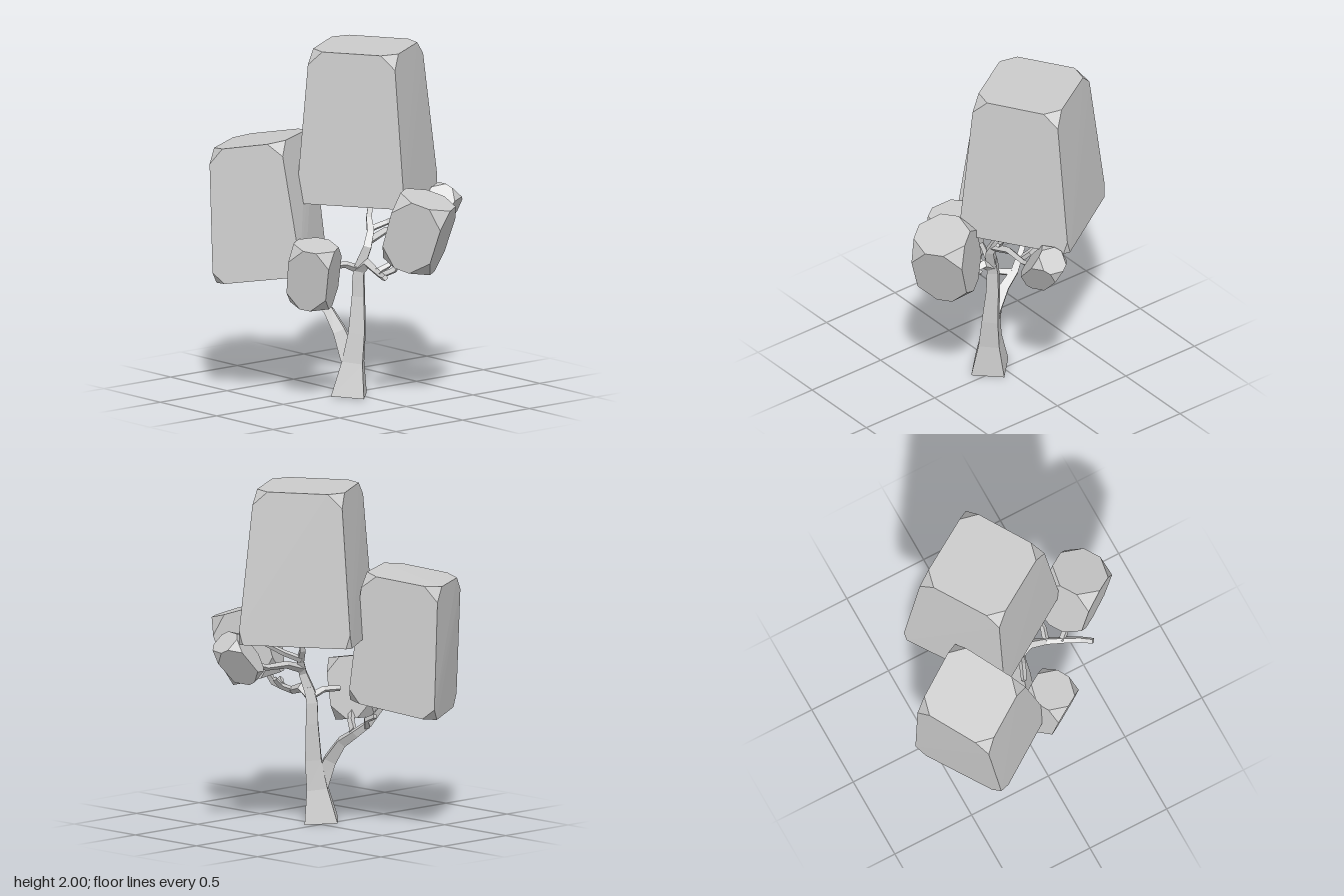
import * as THREE from 'three';
import { ConvexGeometry } from 'three/addons/geometries/ConvexGeometry.js';

const V = (p) => new THREE.Vector3(...p);
const material = new THREE.MeshStandardMaterial({ color: 0xcccccc, flatShading: true });

// Hull of an eight-cornered block with every corner cut off.
// bottom and top: four corners each, in order around the block.
function cutBlock(bottom, top, cutBottom, cutTop, cutUp = cutBottom) {
  const b = bottom.map(V), t = top.map(V), points = [];
  const along = (from, to, d) =>
    points.push(from.clone().lerp(to, Math.min(0.48, d / from.distanceTo(to))));
  for (let i = 0; i < 4; i++) {
    const next = (i + 1) % 4, prev = (i + 3) % 4;
    along(b[i], b[next], cutBottom);
    along(b[i], b[prev], cutBottom);
    along(b[i], t[i], cutUp);
    along(t[i], t[next], cutTop);
    along(t[i], t[prev], cutTop);
    along(t[i], b[i], cutTop);
  }
  return new ConvexGeometry(points);
}

// Four-sided tapering limb through stations [x, y, z, radius].
function limb(stations) {
  const pts = stations.map((s) => new THREE.Vector3(s[0], s[1], s[2]));
  const rings = [];
  let u = new THREE.Vector3(1, 0, 0);
  pts.forEach((p, i) => {
    const t = pts[Math.min(i + 1, pts.length - 1)].clone()
      .sub(pts[Math.max(i - 1, 0)]).normalize();
    if (i === 0 && Math.abs(t.x) > 0.8) u.set(0, 0, 1);
    u = u.clone().addScaledVector(t, -u.dot(t)).normalize();
    const v = t.clone().cross(u);
    rings.push([0, 1, 2, 3].map((k) => {
      const a = (k * Math.PI) / 2;
      const q = p.clone().addScaledVector(u, Math.cos(a) * stations[i][3])
        .addScaledVector(v, Math.sin(a) * stations[i][3]);
      q.y = Math.max(0, q.y);
      return q;
    }));
  });
  const tris = [];
  for (let i = 0; i < rings.length - 1; i++) {
    for (let k = 0; k < 4; k++) {
      const a = rings[i][k], b = rings[i][(k + 1) % 4];
      const c = rings[i + 1][(k + 1) % 4], d = rings[i + 1][k];
      tris.push(a, b, c, a, c, d);
    }
  }
  const s = rings[0], e = rings[rings.length - 1];
  tris.push(s[0], s[2], s[1], s[0], s[3], s[2], e[0], e[1], e[2], e[0], e[2], e[3]);
  const g = new THREE.BufferGeometry().setFromPoints(tris);
  g.computeVertexNormals();
  return g;
}

export function createModel() {
  const model = new THREE.Group();
  model.name = 'tree';
  const add = (name, geometry) => {
    const mesh = new THREE.Mesh(geometry, material);
    mesh.name = name;
    model.add(mesh);
    return mesh;
  };

  // Two large tapered foliage blocks
  add('crownFoliage', cutBlock(
    [[-0.53, 1.12, -0.28], [-0.16, 1.12, 0.27], [0.39, 1.12, -0.08], [0.03, 1.12, -0.64]],
    [[-0.42, 2, -0.25], [-0.15, 2, 0.18], [0.285, 2, -0.09], [0.02, 2, -0.52]],
    0.03, 0.08, 0.08));
  add('sideFoliage', cutBlock(
    [[-0.71, 0.66, 0.21], [-0.4, 0.66, 0.69], [0.05, 0.74, 0.4], [-0.28, 0.76, -0.06]],
    [[-0.71, 1.43, 0.24], [-0.48, 1.43, 0.65], [-0.12, 1.5, 0.42], [-0.34, 1.5, 0.0]],
    0.07, 0.08));

  // Small leaning foliage clumps: centre, width, height, tilt about x and z, corner cut
  [
    ['rightFoliage', [0.49, 1.005, -0.1], 0.3, 0.41, -0.12, -0.28, 0.1],
    ['frontFoliage', [0.08, 0.75, 0.34], 0.24, 0.36, 0.05, -0.18, 0.085],
    ['backFoliage', [0.13, 1.015, -0.535], 0.16, 0.29, -0.75, -0.1, 0.06],
  ].forEach(([name, centre, width, height, tiltX, tiltZ, cut]) => {
    const w = width / 2, h = height / 2;
    const ring = (y, r) => [[-r, y, -r], [-r, y, r], [r, y, r], [r, y, -r]];
    const mesh = add(name, cutBlock(ring(-h, w * 0.97), ring(h, w * 1.03), cut, cut));
    mesh.position.set(...centre);
    mesh.rotation.set(tiltX, 0.57, tiltZ, 'ZXY');
  });

  // Trunk, branches and twigs
  const limbs = {
    trunk: [[0.055, 0, 0.055, 0.135], [0.068, 0.2, 0.035, 0.085], [0.08, 0.37, 0.015, 0.066],
      [0.075, 0.58, 0, 0.05], [0.075, 0.7, 0, 0.045], [0.09, 0.79, -0.01, 0.035]],
    leftBranch: [[0.06, 0.22, 0.05, 0.07], [0.0, 0.37, 0.075, 0.05], [-0.08, 0.48, 0.09, 0.038],
      [-0.17, 0.54, 0.11, 0.03], [-0.24, 0.6, 0.15, 0.024], [-0.31, 0.7, 0.18, 0.02]],
    leftTwig: [[-0.23, 0.58, 0.14, 0.02], [-0.27, 0.63, 0.1, 0.018], [-0.34, 0.66, 0.1, 0.016]],
    frontBranch: [[-0.15, 0.54, 0.11, 0.026], [-0.1, 0.54, 0.16, 0.022],
      [-0.03, 0.58, 0.21, 0.02], [0.03, 0.67, 0.28, 0.018]],
    centreBranch: [[0.085, 0.75, 0, 0.042], [0.12, 0.87, -0.03, 0.032], [0.1, 0.95, -0.07, 0.028],
      [0.05, 1.02, -0.1, 0.022], [0.03, 1.16, -0.14, 0.018]],
    centreTwig: [[0.08, 0.96, -0.08, 0.02], [0.14, 1.0, -0.16, 0.018], [0.23, 1.06, -0.24, 0.014]],
    backBranch: [[0.11, 0.9, -0.05, 0.026], [0.1, 0.94, -0.18, 0.022],
      [0.11, 0.94, -0.33, 0.018], [0.13, 0.99, -0.48, 0.014]],
    rightBranch: [[0.08, 0.73, 0, 0.036], [0.15, 0.78, -0.01, 0.03], [0.25, 0.75, 0.01, 0.023],
      [0.36, 0.745, 0.06, 0.02], [0.43, 0.755, 0.1, 0.019], [0.485, 0.77, 0.145, 0.018]],
    rightTwig: [[0.33, 0.745, 0.05, 0.02], [0.39, 0.78, 0.0, 0.02], [0.42, 0.88, -0.05, 0.018]],
    innerTwig: [[0.25, 0.75, 0.01, 0.02], [0.27, 0.78, -0.06, 0.018], [0.26, 0.83, -0.12, 0.015]],
    frontTwig: [[0.08, 0.74, 0.01, 0.025], [0.06, 0.77, 0.08, 0.02], [0.02, 0.77, 0.17, 0.016]],
  };
  for (const [name, stations] of Object.entries(limbs)) add(name, limb(stations));

  return model;
}
